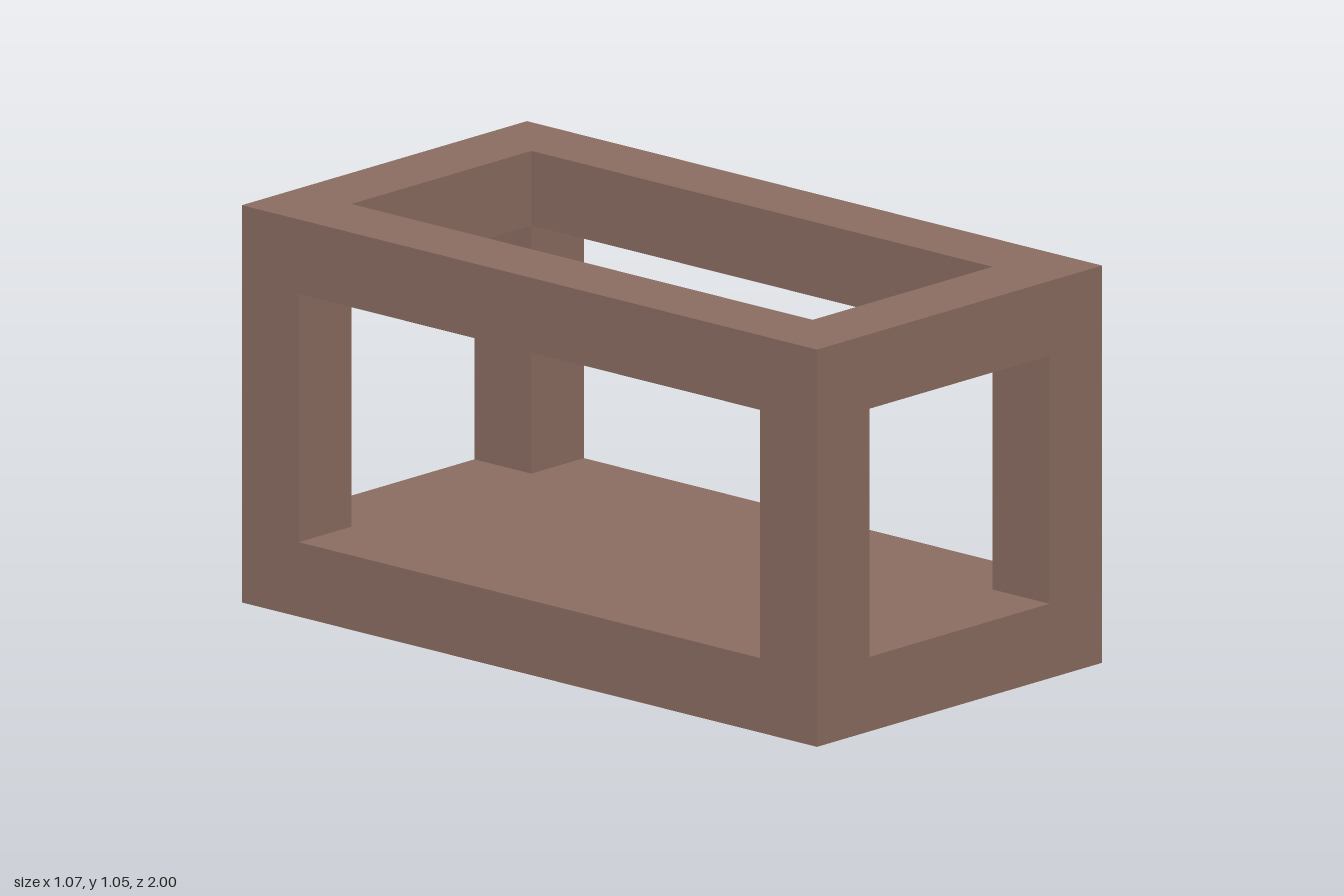
import * as THREE from 'three';

const W = 1.074, H = 1.055, D = 2, T = 0.198; // outer size and bar thickness

export function createModel() {
  const group = new THREE.Group();
  group.name = 'openFrameBox';
  const brown = new THREE.MeshStandardMaterial({ color: 0x8d6e63 });
  brown.name = 'brown';

  const add = (name, geometry, x, y, z) => {
    const mesh = new THREE.Mesh(geometry, brown);
    mesh.name = name;
    mesh.position.set(x, y, z);
    group.add(mesh);
  };

  // Solid floor slab
  add('floor', new THREE.BoxGeometry(W, T, D), 0, T / 2, 0);

  // Four corner posts
  const postHeight = H - 2 * T;
  const post = new THREE.BoxGeometry(T, postHeight, T);
  for (const sx of [1, -1]) {
    for (const sz of [1, -1]) {
      const name = (sz > 0 ? 'front' : 'back') + (sx > 0 ? 'Left' : 'Right') + 'Post';
      add(name, post, sx * (W - T) / 2, H / 2, sz * (D - T) / 2);
    }
  }

  // Top frame: one rectangle with a rectangular opening
  const rectangle = (w, d) => [[-1, -1], [1, -1], [1, 1], [-1, 1]]
    .map(([x, y]) => new THREE.Vector2(x * w / 2, y * d / 2));
  const outline = new THREE.Shape(rectangle(W, D));
  outline.holes.push(new THREE.Path(rectangle(W - 2 * T, D - 2 * T).reverse()));
  const frame = new THREE.ExtrudeGeometry(outline, { depth: T, bevelEnabled: false });
  frame.rotateX(-Math.PI / 2);
  add('topFrame', frame, 0, H - T, 0);

  return group;
}
